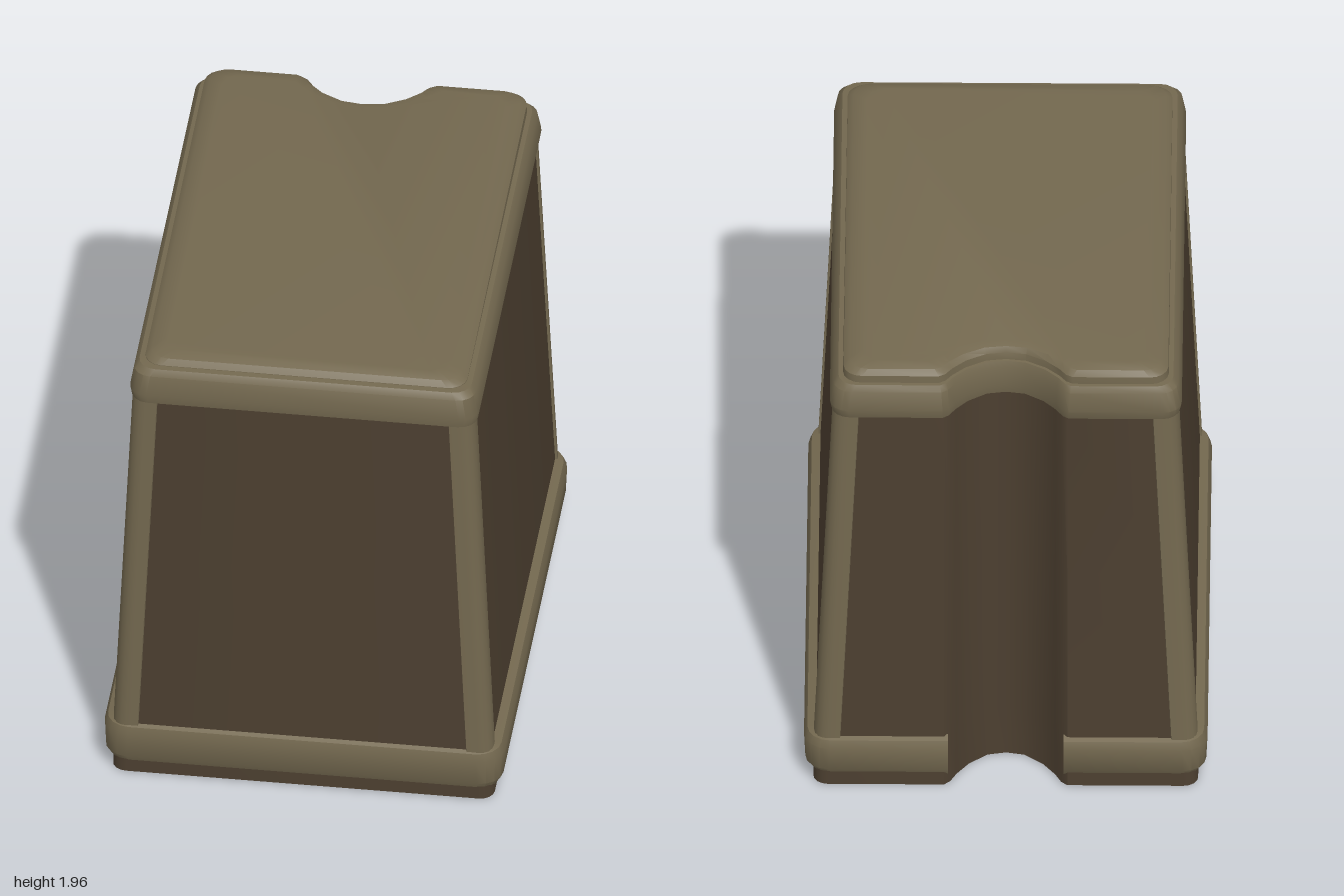
import * as THREE from 'three';
import { toCreasedNormals } from 'three/addons/utils/BufferGeometryUtils.js';

const tan = new THREE.MeshStandardMaterial({ color: 0x73684f, side: THREE.DoubleSide });
tan.name = 'tan trim';
const brown = new THREE.MeshStandardMaterial({ color: 0x4c3f30, side: THREE.DoubleSide });
brown.name = 'dark brown panel';

// Half of the notch curve as fractions of its half width and depth
const NOTCH = [[1, 0], [0.9, 0.1], [0.8, 0.33], [0.6, 0.65], [0.3, 0.93], [0, 1]];

// Rounded corner from the side given by angle a0, a quarter turn
function corner(cx, cz, r, a0, steps = 4) {
  const pts = [];
  for (let i = 0; i <= steps; i++) {
    const a = a0 + (i / steps) * Math.PI / 2;
    pts.push([cx + r * Math.cos(a), cz + r * Math.sin(a)]);
  }
  return pts;
}

// Outline from the notch around the box; nz is the z of the notch floor (omit for an open path)
function outline({ w, zf, zb, r, nw, nz }) {
  const pts = [
    [nw, zb],
    ...corner(w - r, zb + r, r, -Math.PI / 2),
    ...corner(w - r, zf - r, r, 0),
    ...corner(-w + r, zf - r, r, Math.PI / 2),
    ...corner(-w + r, zb + r, r, Math.PI),
    [-nw, zb],
  ];
  if (nz !== undefined) {
    const at = ([fx, fz], s) => [s * fx * nw, zb + fz * (nz - zb)];
    for (let i = 1; i < NOTCH.length; i++) pts.push(at(NOTCH[i], -1));
    for (let i = NOTCH.length - 2; i > 0; i--) pts.push(at(NOTCH[i], 1));
  }
  return pts;
}

// Surface through stacked outlines, with an optional top cap or end caps
function loft(layers, { closed = true, top = false, ends = false, crease = 0.6 } = {}) {
  const n = layers[0].pts.length;
  const pos = [], idx = [];
  for (const { pts, y } of layers) for (const [x, z] of pts) pos.push(x, y, z);
  for (let k = 0; k < layers.length - 1; k++) {
    for (let i = 0; i < (closed ? n : n - 1); i++) {
      const a = k * n + i, b = k * n + (i + 1) % n;
      idx.push(a, a + n, b + n, a, b + n, b);
    }
  }
  if (top) {
    const o = (layers.length - 1) * n;
    const contour = layers[layers.length - 1].pts.map(([x, z]) => new THREE.Vector2(x, z));
    for (const [a, b, c] of THREE.ShapeUtils.triangulateShape(contour, [])) idx.push(o + a, o + c, o + b);
  }
  if (ends) {
    for (let k = 1; k < layers.length - 1; k++) {
      idx.push(0, (k + 1) * n, k * n);
      idx.push(n - 1, k * n + n - 1, (k + 1) * n + n - 1);
    }
  }
  const g = new THREE.BufferGeometry();
  g.setAttribute('position', new THREE.Float32BufferAttribute(pos, 3));
  g.setIndex(idx);
  return () => toCreasedNormals(g, crease);
}

function ring(y, w, zf, zb, r, nw, nz) {
  return { y, pts: outline({ w, zf, zb, r, nw, nz }) };
}

// Half width and z limits of the tapering body at height y
function bodyAt(y) {
  const t = (y - 0.23) / 1.52;
  return { w: 0.73 - 0.07 * t, zf: 0.985 - 0.02 * t, zb: -0.978 + 0.046 * t };
}

export function createModel() {
  const group = new THREE.Group();
  const add = (name, geometry, material) => {
    const m = new THREE.Mesh(geometry, material);
    m.name = name;
    group.add(m);
  };

  // Tapered hollow body, open underneath, with a groove down the back
  const inset = 0.008;
  const body = [0.005, 0.23, 1.0, 1.75, 1.87].map((y) => {
    const { w, zf, zb } = bodyAt(y);
    return ring(y, w - inset, zf - inset, zb + inset, 0.055, 0.235, -0.775);
  });
  add('body', loft(body, { top: true })(), brown);

  // Trim strips on the four upright corners, ends tucked into the body
  for (const [sx, sz, name] of [[1, 1, 'FrontLeft'], [-1, 1, 'FrontRight'], [1, -1, 'BackLeft'], [-1, -1, 'BackRight']]) {
    const layers = [0.2, 1.0, 1.78].map((y) => {
      const { w, zf, zb } = bodyAt(y);
      const d = sz > 0 ? zf : -zb;
      const r = 0.055, t = 0.014;
      const xp = w - 0.103, zp = d - 0.08;
      let pts = [[w - t, zp], [w, zp + 0.004], ...corner(w - r, d - r, r, 0), [xp + 0.004, d], [xp, d - t]];
      pts = pts.map(([x, z]) => [x * sx, z * sz]);
      if (sx * sz < 0) pts.reverse();
      return { y, pts };
    });
    add('cornerTrim' + name, loft(layers, { closed: false })(), tan);
  }

  // Base band, broken at the back groove
  const base = [
    ring(0.0, 0.72, 0.945, -0.93, 0.07, 0.22),
    ring(0.085, 0.763, 0.995, -0.99, 0.09, 0.22),
    ring(0.19, 0.768, 1.0, -1.0, 0.1, 0.22),
    ring(0.222, 0.755, 0.992, -0.988, 0.09, 0.22),
    ring(0.235, 0.715, 0.97, -0.96, 0.06, 0.22),
  ];
  add('baseBand', loft(base, { closed: false, ends: true })(), tan);

  // Top band following the groove
  const band = [
    ring(1.745, 0.645, 0.95, -0.915, 0.06, 0.25, -0.765),
    ring(1.752, 0.664, 0.97, -0.955, 0.07, 0.24, -0.79),
    ring(1.79, 0.67, 0.975, -0.965, 0.07, 0.24, -0.797),
    ring(1.872, 0.656, 0.963, -0.953, 0.07, 0.245, -0.79),
    ring(1.895, 0.638, 0.945, -0.938, 0.07, 0.25, -0.782),
    ring(1.9, 0.59, 0.9, -0.9, 0.06, 0.28, -0.75),
  ];
  add('topBand', loft(band)(), tan);

  // Raised lid with softened edge, tilted slightly down to the front
  const lid = [
    ring(1.885, 0.62, 0.925, -0.93, 0.07, 0.255, -0.775),
    ring(1.915, 0.618, 0.923, -0.928, 0.07, 0.255, -0.773),
    ring(1.936, 0.595, 0.905, -0.91, 0.07, 0.27, -0.76),
    ring(1.945, 0.545, 0.86, -0.87, 0.07, 0.3, -0.73),
  ];
  const lidGeometry = loft(lid, { top: true })();
  const p = lidGeometry.attributes.position;
  for (let i = 0; i < p.count; i++) p.setY(i, p.getY(i) - 0.017 * p.getZ(i));
  add('lid', lidGeometry, tan);

  return group;
}
